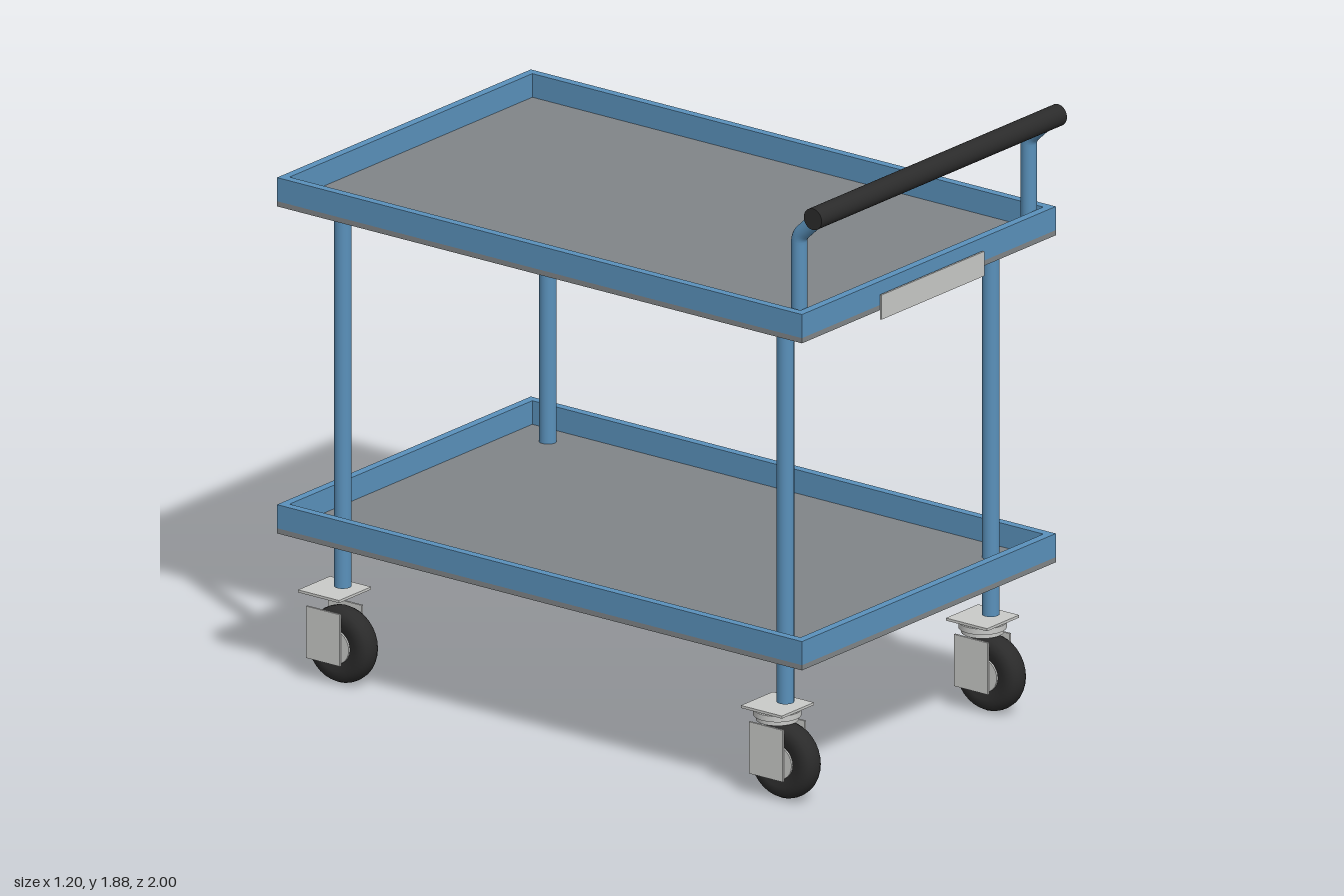
import * as THREE from 'three';

const mat = (name, color) => new THREE.MeshStandardMaterial({ name, color });

export function createModel() {
  const blue = mat('blue paint', 0x5a91bb);
  const grey = mat('grey deck', 0x808588);
  const steel = mat('light steel', 0xc9cac8);
  const rubber = mat('black rubber', 0x2b2b2b);

  const cart = new THREE.Group();
  cart.name = 'serviceCart';

  const add = (parent, name, geometry, material, x = 0, y = 0, z = 0) => {
    const mesh = new THREE.Mesh(geometry, material);
    mesh.name = name;
    mesh.position.set(x, y, z);
    parent.add(mesh);
    return mesh;
  };
  const box = (w, h, d) => new THREE.BoxGeometry(w, h, d);
  const cyl = (r, h, n = 24) => new THREE.CylinderGeometry(r, r, h, n);

  // Tray: flat deck with a raised rim all round
  const W = 1.2, back = -1, front = 0.943, wall = 0.026, rimH = 0.073, deckH = 0.016;
  const L = front - back, midZ = (front + back) / 2;
  const makeTray = (name, y) => {
    const tray = new THREE.Group();
    tray.name = name;
    tray.position.set(0, y, midZ);
    add(tray, 'deck', box(W, deckH, L), grey, 0, deckH / 2, 0);
    const rimY = deckH + rimH / 2;
    for (const s of [-1, 1]) {
      add(tray, 'sideRim', box(wall, rimH, L), blue, s * (W - wall) / 2, rimY, 0);
      add(tray, 'endRim', box(W - 2 * wall, rimH, wall), blue, 0, rimY, s * (L - wall) / 2);
    }
    cart.add(tray);
  };
  makeTray('lowerTray', 0.456);
  makeTray('upperTray', 1.467);

  // Tyre with rounded shoulders, turned about its axle
  const R = 0.117;
  const tyreProfile = [
    [0.045, -0.03], [0.075, -0.039], [0.095, -0.037], [0.108, -0.029], [0.115, -0.016], [R, 0],
    [0.115, 0.016], [0.108, 0.029], [0.095, 0.037], [0.075, 0.039], [0.045, 0.03],
  ].map(([r, h]) => new THREE.Vector2(r, h));
  const tyre = new THREE.LatheGeometry(tyreProfile, 32).rotateZ(Math.PI / 2);
  const hub = cyl(0.052, 0.076).rotateZ(Math.PI / 2);
  const axle = cyl(0.012, 0.1, 12).rotateZ(Math.PI / 2);

  // Caster: wheel, fork cheeks and mounting plate; the front pair also swivels
  const makeCaster = (x, z, swivel) => {
    const caster = new THREE.Group();
    caster.name = swivel ? 'swivelCaster' : 'fixedCaster';
    caster.position.set(x, 0, z);
    add(caster, 'tyre', tyre, rubber, 0, R, 0);
    add(caster, 'hub', hub, steel, 0, R, 0);
    add(caster, 'axle', axle, steel, 0, R, 0);
    for (const s of [-1, 1]) {
      add(caster, 'forkCheek', box(0.007, 0.16, 0.125), steel, s * 0.052, 0.148, -0.03);
    }
    add(caster, 'mountPlate', box(0.152, 0.008, 0.152), steel, 0, 0.277, -0.03);
    if (swivel) {
      add(caster, 'swivelRing', cyl(0.071, 0.018, 32), steel, 0, 0.258, -0.03);
      add(caster, 'swivelBase', cyl(0.063, 0.014, 32), steel, 0, 0.242, -0.03);
    }
    cart.add(caster);
  };

  // Corner posts run through the lower tray down to the casters
  const postBottom = 0.295, postTop = 1.47;
  for (const x of [-0.485, 0.485]) {
    for (const z of [0.792, -0.847]) {
      add(cart, 'post', cyl(0.026, postTop - postBottom, 16), blue, x, (postTop + postBottom) / 2, z);
      makeCaster(x, z, z > 0);
    }
  }

  // Push handle: cranked tubes carrying a grip bar
  const V = (y, z) => new THREE.Vector3(0, y, z);
  const crank = new THREE.CurvePath();
  crank.add(new THREE.LineCurve3(V(1.475, 0.888), V(1.755, 0.888)));
  crank.add(new THREE.QuadraticBezierCurve3(V(1.755, 0.888), V(1.775, 0.888), V(1.79, 0.905)));
  crank.add(new THREE.LineCurve3(V(1.79, 0.905), V(1.848, 0.966)));
  const armGeometry = new THREE.TubeGeometry(crank, 40, 0.024, 16);
  for (const s of [-1, 1]) add(cart, 'handleArm', armGeometry, blue, s * 0.543);
  add(cart, 'handleGrip', cyl(0.033, 1.16, 32).rotateZ(Math.PI / 2), rubber, 0, 1.85, 0.967);

  // Blank plate hung on the front rim
  add(cart, 'frontPlate', box(0.486, 0.076, 0.006), steel, 0, 1.482, 0.955);

  return cart;
}
